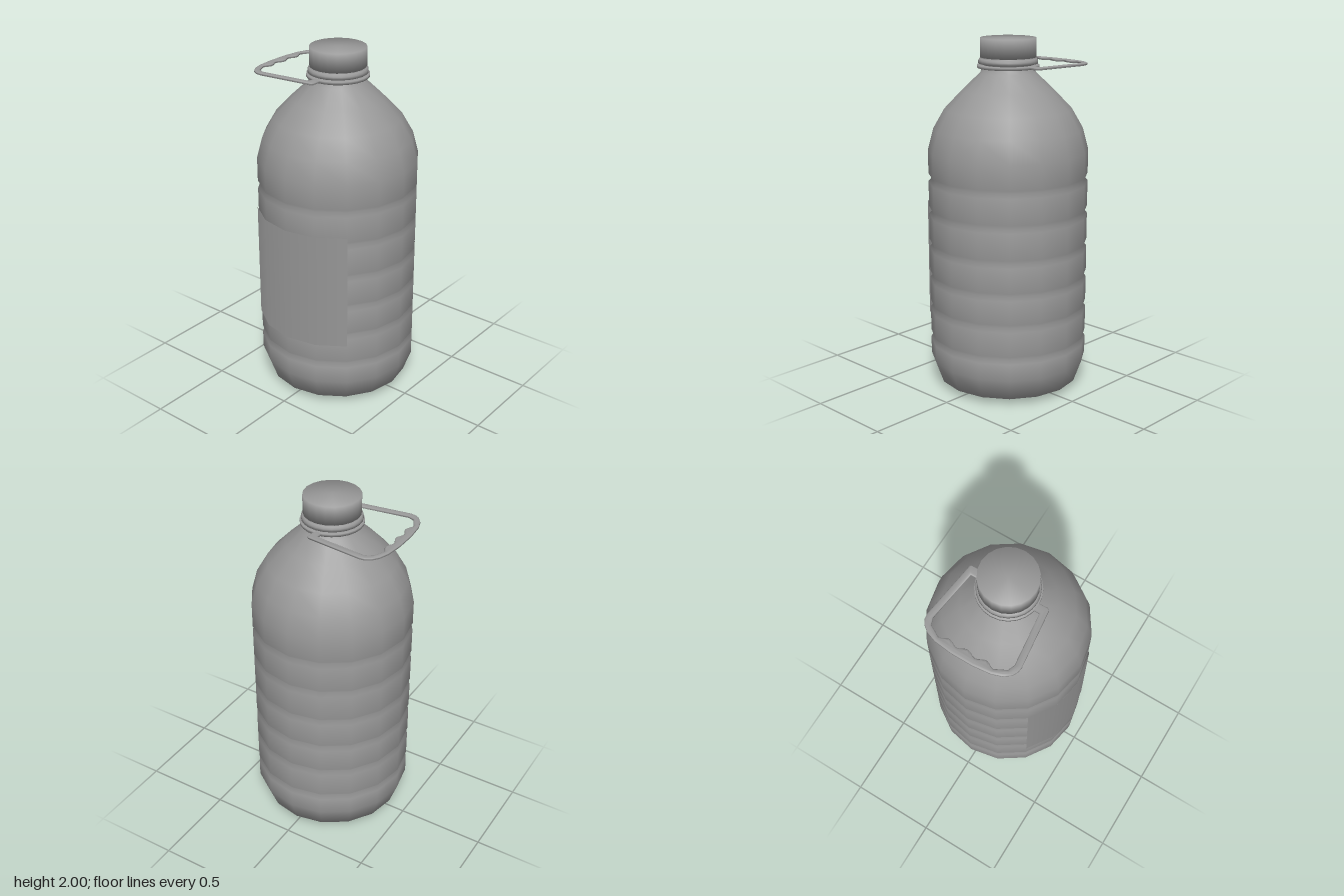
import * as THREE from 'three';
import { toCreasedNormals } from 'three/addons/utils/BufferGeometryUtils.js';

const SIDES = 16;
const material = new THREE.MeshStandardMaterial({ color: 0x999999 });
const thin = new THREE.MeshStandardMaterial({ color: 0x999999, side: THREE.DoubleSide });

const toPoints = (pairs) => pairs.map(([x, y]) => new THREE.Vector2(x, y));

// Turned part with soft normals all over
const turned = (pairs, sides) => new THREE.LatheGeometry(toPoints(pairs), sides);

function part(name, geometry, mat = material) {
  const mesh = new THREE.Mesh(geometry, mat);
  mesh.name = name;
  return mesh;
}

function bodyGeometry() {
  // Recessed base with a central dimple, then the rounded foot
  const profile = [
    [0, 0.045], [0.11, 0.045], [0.15, 0.06], [0.22, 0.05], [0.28, 0.01],
    [0.315, 0], [0.405, 0.04], [0.45, 0.165],
  ];
  // Pinched grooves around the barrel
  for (const y of [0.285, 0.47, 0.65, 0.835, 1.03, 1.22]) {
    profile.push([0.45, y - 0.022], [0.43, y], [0.45, y + 0.022]);
  }
  // Shoulder
  profile.push([0.45, 1.38], [0.418, 1.5], [0.355, 1.61], [0.255, 1.715], [0.155, 1.81], [0.14, 1.84]);
  return turned(profile, SIDES);
}

function handleGeometry() {
  // Half outline in (x, z): outer edge from the ring to the middle of the grip
  const outer = [
    [0.012, 0.15], [0.012, 0.222], [0.004, 0.232], [-0.323, 0.272], [-0.352, 0.268],
    [-0.38, 0.252], [-0.408, 0.215], [-0.427, 0.16], [-0.438, 0.06],
  ];
  const inner = [
    [-0.036, 0.15], [-0.036, 0.199], [-0.328, 0.235], [-0.366, 0.22], [-0.386, 0.18],
  ];
  // Finger bumps along the inside of the grip
  for (let i = 0; i <= 12; i++) {
    const z = 0.158 * (1 - i / 12);
    inner.push([-0.388 + 0.01 * Math.cos((z / 0.105) * Math.PI * 2), z]);
  }
  const mirror = (list) => list.map(([x, z]) => [x, -z]).reverse();
  const outline = [
    ...outer, ...mirror(outer),
    ...inner.slice(0, -1).map(([x, z]) => [x, -z]),
    ...inner.slice().reverse(),
  ];
  // Rounded section with soft normals
  const geometry = new THREE.ExtrudeGeometry(new THREE.Shape(toPoints(outline)), {
    depth: 0.004, bevelEnabled: true, bevelThickness: 0.006,
    bevelSize: 0.013, bevelOffset: -0.013, bevelSegments: 3,
  });
  geometry.rotateX(-Math.PI / 2);
  geometry.translate(0, 1.843, 0);
  return toCreasedNormals(geometry, 1.5);
}

function labelGeometry() {
  const geometry = new THREE.CylinderGeometry(0.456, 0.456, 0.67, 4, 1, true, -Math.PI / 4, Math.PI / 2);
  geometry.translate(0, 0.745, 0);
  // Turn the normals towards the front so the label shades as one flat sheet
  const normal = geometry.attributes.normal;
  for (let i = 0; i < normal.count; i++) normal.setX(i, normal.getX(i) * 0.35);
  geometry.normalizeNormals();
  return geometry;
}

export function createModel() {
  const bottle = new THREE.Group();
  bottle.name = 'bottle';

  bottle.add(part('body', bodyGeometry()));

  // Neck with its raised collar
  bottle.add(part('neck', turned([
    [0.14, 1.82], [0.14, 1.858], [0.165, 1.861], [0.165, 1.877],
    [0.158, 1.888], [0.145, 1.89], [0.145, 1.92],
  ], 24)));

  // Screw cap
  bottle.add(part('cap', turned([
    [0, 1.895], [0.156, 1.895], [0.156, 2], [0, 2],
  ], 20)));

  // Carrying handle and the ring that clips it to the neck
  const handle = new THREE.Group();
  handle.name = 'handle';
  handle.add(part('handleRing', turned([
    [0.138, 1.837], [0.172, 1.837], [0.172, 1.853], [0.138, 1.853],
  ], 24)));
  handle.add(part('handleGrip', handleGeometry()));
  bottle.add(handle);

  // Wrapped front label
  bottle.add(part('label', labelGeometry(), thin));

  return bottle;
}
